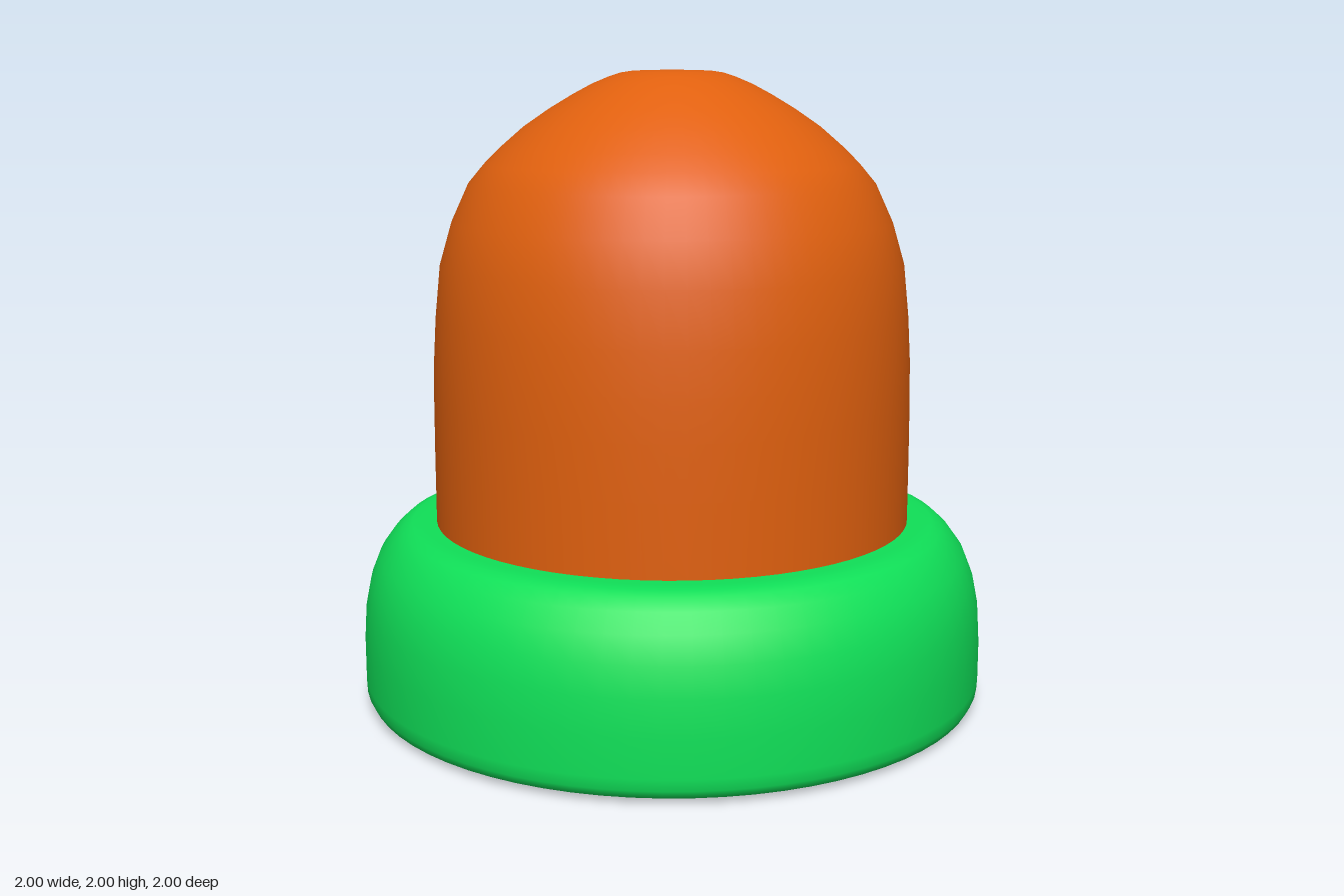
import * as THREE from 'three';

const orange = new THREE.MeshStandardMaterial({ color: 0xe0600e });
orange.name = 'orange';
const green = new THREE.MeshStandardMaterial({ color: 0x10e058 });
green.name = 'green';

// Revolve a bottom-to-top [radius, height] profile around y
function turned(name, profile, material) {
  const points = profile.map(([r, y]) => new THREE.Vector2(r, y));
  const mesh = new THREE.Mesh(new THREE.LatheGeometry(points, 72), material);
  mesh.name = name;
  return mesh;
}

export function createModel() {
  const model = new THREE.Group();
  model.name = 'domedButton';

  // Wide round base: flat underside, softly rounded shoulder, flat top
  model.add(turned('base', [
    [0, 0], [0.88, 0], [0.95, 0.008], [0.985, 0.02], [0.998, 0.045], [1, 0.08],
    [1, 0.2], [0.993, 0.31], [0.975, 0.4], [0.945, 0.475], [0.905, 0.53],
    [0.87, 0.562], [0.84, 0.573], [0.8, 0.576], [0, 0.576],
  ], green));

  // Tall dome with a small flattened crown
  model.add(turned('dome', [
    [0.762, 0.57], [0.762, 0.8], [0.761, 0.97], [0.758, 1.1], [0.75, 1.235],
    [0.733, 1.4], [0.695, 1.53], [0.64, 1.65], [0.59, 1.71], [0.54, 1.76],
    [0.465, 1.825], [0.385, 1.88], [0.31, 1.925], [0.25, 1.957],
    [0.2, 1.978], [0.16, 1.991], [0.12, 1.997], [0, 2],
  ], orange));

  return model;
}
